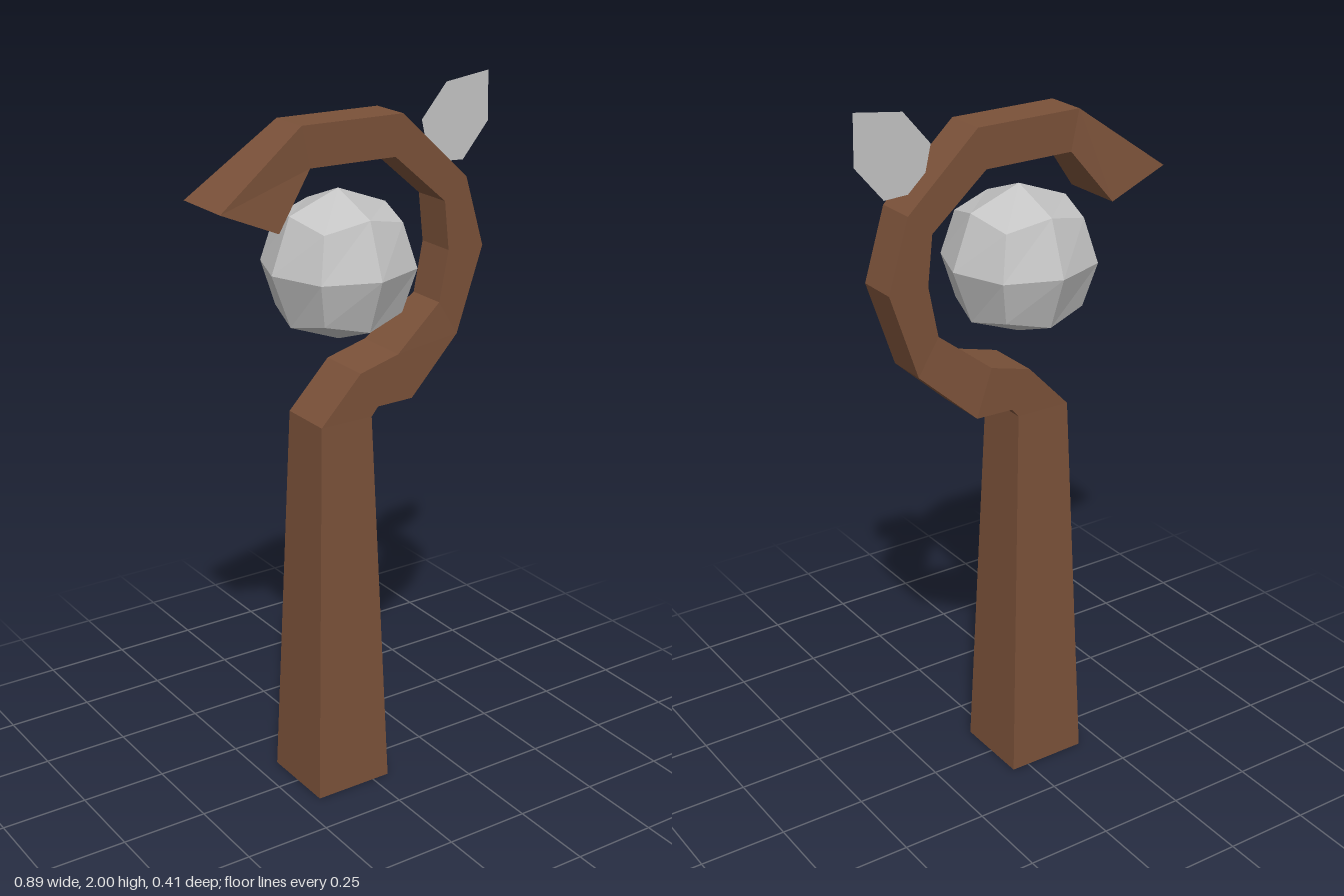
import * as THREE from 'three';

const wood = new THREE.MeshStandardMaterial({ color: 0x7a5139 });
wood.name = 'brown wood';
const stone = new THREE.MeshStandardMaterial({ color: 0xc4c4c4 });
stone.name = 'pale grey';
const leafGrey = new THREE.MeshStandardMaterial({ color: 0xc4c4c4, side: THREE.DoubleSide });
leafGrey.name = 'leaf grey';

// Gives every face its own normal for a faceted look
function faceted(geometry) {
  const g = geometry.index ? geometry.toNonIndexed() : geometry;
  g.computeVertexNormals();
  return g;
}

// Square-section loft; each section: inner x, y, outer x, y, half depth
function loft(sections) {
  const positions = [];
  const rings = sections.map(([lx, ly, rx, ry, d]) => [
    [lx, ly, d], [rx, ry, d], [rx, ry, -d], [lx, ly, -d],
  ]);
  const quad = (a, b, c, d) => positions.push(...a, ...b, ...c, ...a, ...c, ...d);
  for (let i = 0; i < rings.length - 1; i++) {
    for (let k = 0; k < 4; k++) {
      const n = (k + 1) % 4;
      quad(rings[i][k], rings[i][n], rings[i + 1][n], rings[i + 1][k]);
    }
  }
  quad(...[...rings[0]].reverse());
  quad(...rings[rings.length - 1]);
  const g = new THREE.BufferGeometry();
  g.setAttribute('position', new THREE.Float32BufferAttribute(positions, 3));
  return faceted(g);
}

// Cube with 2 x 2 faces per side, pushed out to a ball
function quadBall() {
  const g = new THREE.BoxGeometry(2, 2, 2, 2, 2, 2);
  const p = g.attributes.position;
  const reach = [0, 0.206, 0.15, 0.122]; // face centre, edge middle, corner
  for (let i = 0; i < p.count; i++) {
    const v = [p.getX(i), p.getY(i), p.getZ(i)].map(Math.round);
    const r = reach[v.filter((c) => c !== 0).length];
    p.setXYZ(i, v[0] * r, v[1] * r, v[2] * r);
  }
  return faceted(g);
}

export function createModel() {
  const group = new THREE.Group();
  group.name = 'staff';
  const add = (name, geometry, material) => {
    const mesh = new THREE.Mesh(geometry, material);
    mesh.name = name;
    group.add(mesh);
    return mesh;
  };

  // Tapered shaft curling into a hook with a flared tip
  add('shaftAndHook', loft([
    [-0.185, 0, 0.052, 0, 0.117],
    [-0.147, 1.12, 0.014, 1.12, 0.081],
    [-0.022, 1.25, 0.035, 1.145, 0.081],
    [0.1, 1.282, 0.147, 1.147, 0.081],
    [0.25, 1.397, 0.312, 1.297, 0.06],
    [0.278, 1.54, 0.393, 1.537, 0.06],
    [0.263, 1.677, 0.333, 1.735, 0.06],
    [0.1, 1.817, 0.124, 1.928, 0.06],
    [-0.163, 1.82, -0.187, 1.931, 0.06],
    [-0.277, 1.674, -0.445, 1.746, 0.092],
  ]), wood);

  // Orb floating inside the hook
  add('orb', quadBall(), stone).position.set(-0.04, 1.537, 0);

  // Flat leaf on the outside of the hook
  const outline = [
    [0.444, 2], [0.305, 1.982], [0.226, 1.89], [0.254, 1.772],
    [0.365, 1.766], [0.447, 1.863],
  ].map(([x, y]) => new THREE.Vector2(x, y));
  add('leaf', new THREE.ShapeGeometry(new THREE.Shape(outline)), leafGrey);

  return group;
}
